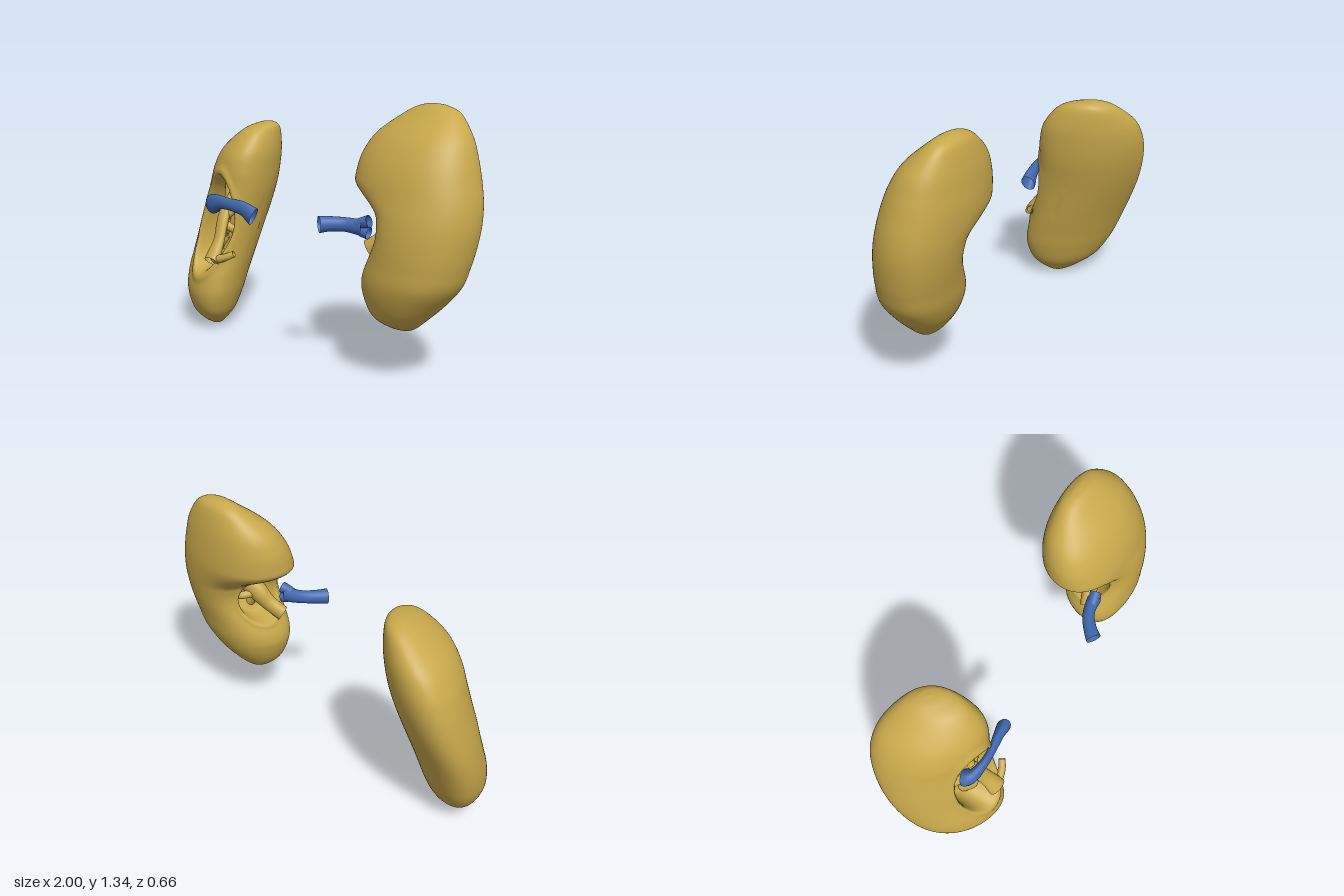
import * as THREE from 'three';

const TAN = new THREE.MeshStandardMaterial({ color: 0xc8a84b, side: THREE.DoubleSide });
const BLUE = new THREE.MeshStandardMaterial({ color: 0x4169b0, side: THREE.DoubleSide });

// Smooth body lofted through rows of [y, xMin, xMax, zBack, zFront], then hollowed by
// dent(p, c, s), where c and s run -1..1 across and along the section
function kidney(name, rows, skew, bulge, dent) {
  const low = new THREE.CatmullRomCurve3(rows.map(r => new THREE.Vector3(r[1], r[0], r[3])), false, 'catmullrom', 0.5);
  const high = new THREE.CatmullRomCurve3(rows.map(r => new THREE.Vector3(r[2], r[0], r[4])), false, 'catmullrom', 0.5);
  const N = 160, M = 160, pos = [], idx = [];
  const full = v => v * (1 + bulge * (1 - v * v));
  const p = new THREE.Vector3();
  for (let i = 0; i <= M; i++) {
    const a = low.getPoint(i / M), b = high.getPoint(i / M);
    for (let j = 0; j < N; j++) {
      const t = j / N * Math.PI * 2, c = full(Math.cos(t)), s = full(Math.sin(t + skew));
      p.set((a.x + b.x + (b.x - a.x) * c) / 2, a.y, (a.z + b.z + (b.z - a.z) * s) / 2);
      dent(p, c, s);
      pos.push(p.x, p.y, p.z);
      if (i < M) {
        const k = i * N + j, n = i * N + (j + 1) % N;
        idx.push(k, k + N, n, n, k + N, n + N);
      }
    }
  }
  const g = new THREE.BufferGeometry();
  g.setAttribute('position', new THREE.Float32BufferAttribute(pos, 3));
  g.setIndex(idx);
  g.computeVertexNormals();
  const mesh = new THREE.Mesh(g, TAN);
  mesh.name = name;
  return mesh;
}

// Open tube along points [x, y, z, radius], flattened in z by flat
function vessel(name, material, pts, flat = 1) {
  const curve = new THREE.CatmullRomCurve3(pts.map(p => new THREE.Vector3(p[0], p[1], p[2])));
  const radii = new THREE.SplineCurve(pts.map((p, i) => new THREE.Vector2(i, p[3])));
  const S = 32, R = 20;
  const g = new THREE.TubeGeometry(curve, S, 1, R, false);
  const v = new THREE.Vector3(), pos = g.attributes.position;
  for (let i = 0; i <= S; i++) {
    const u = curve.getUtoTmapping(i / S), c = curve.getPoint(u), r = radii.getPoint(u).y;
    for (let j = 0; j <= R; j++) {
      const k = i * (R + 1) + j;
      v.fromBufferAttribute(pos, k).sub(c).multiplyScalar(r);
      v.z *= flat;
      v.add(c);
      pos.setXYZ(k, v.x, v.y, v.z);
    }
  }
  g.computeVertexNormals();
  const mesh = new THREE.Mesh(g, material);
  mesh.name = name;
  return mesh;
}

const { smoothstep } = THREE.MathUtils;
// Pocket depth (0..1) and raised lip for a normalised distance from the hilum centre
const pocket = d => 1 - smoothstep(d, 0.78, 1);
const lip = d => Math.exp(-Math.pow((d - 1.07) / 0.09, 2));

export function createModel() {
  const model = new THREE.Group();

  const left = new THREE.Group();
  left.name = 'leftKidneyGroup';
  left.add(kidney('leftKidney', [
    [1.343, 0.65, 0.65, -0.22, -0.22], [1.335, 0.58, 0.72, -0.25, -0.18],
    [1.30, 0.50, 0.80, -0.285, -0.13], [1.2, 0.385, 0.89, -0.31, -0.01],
    [1.1, 0.335, 0.935, -0.322, 0.06], [1.0, 0.322, 0.965, -0.327, 0.10],
    [0.9, 0.325, 0.988, -0.32, 0.12], [0.8, 0.345, 0.995, -0.305, 0.135],
    [0.7, 0.38, 0.985, -0.285, 0.145], [0.6, 0.41, 0.965, -0.26, 0.15],
    [0.5, 0.44, 0.93, -0.235, 0.152], [0.4, 0.468, 0.85, -0.19, 0.13],
    [0.32, 0.51, 0.77, -0.13, 0.09], [0.27, 0.57, 0.71, -0.08, 0.02],
    [0.253, 0.65, 0.65, -0.04, -0.04],
  ], -0.16, 0.08, (p, c) => {
    // Bean-shaped notch, then the pocket in its wall
    const notch = 0.21 * (1 - smoothstep(p.y, 0.82, 0.98)) * smoothstep(p.y, 0.45, 0.8);
    p.x += notch * Math.pow((1 - c) / 2, 2);
    if (c > 0) return;
    const d = Math.hypot((p.z + 0.05) / 0.13, (p.y - 0.74) / 0.15);
    p.x += 0.1 * pocket(d) - 0.006 * lip(d);
  }));
  // Funnel leaving the hollow, with its inner branches
  left.add(vessel('leftPelvis', TAN, [
    [0.64, 0.80, -0.06, 0.065], [0.58, 0.75, -0.04, 0.06], [0.53, 0.69, -0.01, 0.048], [0.46, 0.635, 0.03, 0.045]], 0.8));
  for (const [y, z] of [[0.85, -0.09], [0.74, -0.13], [0.64, -0.05]])
    left.add(vessel('leftCalyx', TAN, [[0.58, 0.75, -0.04, 0.025], [0.62, (y + 0.75) / 2, z, 0.022], [0.68, y, z, 0.04]]));
  // Vein with a forked inner end
  left.add(vessel('leftVein', BLUE, [
    [0.29, 0.75, 0.205, 0.042], [0.315, 0.752, 0.165, 0.038], [0.37, 0.75, 0.105, 0.036], [0.43, 0.745, 0.075, 0.04], [0.465, 0.745, 0.065, 0.045]], 0.8));
  for (const s of [1, -1])
    left.add(vessel('leftVeinBranch', BLUE, [
      [0.42, 0.748, 0.08, 0.03], [0.455, 0.748 + s * 0.02, 0.07, 0.028], [0.49, 0.75 + s * 0.03, 0.055, 0.031]]));

  const right = new THREE.Group();
  right.name = 'rightKidneyGroup';
  right.add(kidney('rightKidney', [
    [1.147, -0.565, -0.565, -0.12, -0.12], [1.137, -0.63, -0.50, -0.17, -0.04],
    [1.1, -0.705, -0.46, -0.22, 0.06], [1.0, -0.84, -0.43, -0.265, 0.15],
    [0.9, -0.91, -0.428, -0.277, 0.185], [0.8, -0.948, -0.438, -0.268, 0.195],
    [0.7, -0.972, -0.455, -0.245, 0.21], [0.6, -0.99, -0.47, -0.212, 0.23],
    [0.5, -1.0, -0.48, -0.172, 0.25], [0.4, -1.0, -0.488, -0.13, 0.28],
    [0.3, -0.99, -0.498, -0.09, 0.315], [0.2, -0.965, -0.513, -0.047, 0.33],
    [0.1, -0.905, -0.55, 0.012, 0.305], [0.04, -0.835, -0.605, 0.08, 0.25],
    [0.01, -0.76, -0.65, 0.13, 0.20], [0.0, -0.70, -0.70, 0.17, 0.17],
  ], 0.45, 0.05, (p, c, s) => {
    if (s < 0) return;
    const d = Math.hypot((p.x + 0.63 - 0.08 * (p.y - 0.6)) / 0.145, (p.y - 0.595) / 0.28);
    const push = 0.15 * pocket(d) - 0.01 * lip(d);
    p.x -= 0.25 * push;
    p.z -= push;
  }));
  // Collecting funnel with its flared, flattened lower end
  right.add(vessel('rightPelvis', TAN, [
    [-0.63, 0.70, 0.12, 0.035], [-0.61, 0.61, 0.17, 0.042], [-0.58, 0.50, 0.22, 0.04], [-0.565, 0.40, 0.28, 0.052]], 0.6));
  right.add(vessel('rightUreter', TAN, [
    [-0.59, 0.41, 0.24, 0.025], [-0.54, 0.415, 0.26, 0.024], [-0.48, 0.435, 0.24, 0.02], [-0.445, 0.455, 0.21, 0.018]]));
  // Branches reaching the floor of the hollow
  for (const [x, y, z] of [[-0.68, 0.78, 0.05], [-0.60, 0.82, 0.05], [-0.72, 0.62, 0.06], [-0.72, 0.47, 0.08], [-0.66, 0.38, 0.13], [-0.54, 0.55, 0.08], [-0.54, 0.70, 0.06]])
    right.add(vessel('rightCalyx', TAN, [
      [-0.61, 0.6 + (y - 0.6) * 0.35, 0.15, 0.026], [(x - 0.61) / 2, 0.6 + (y - 0.6) * 0.7, z + 0.05, 0.024], [x, y, z, 0.045]]));
  // Vein crossing the hollow and flaring at both ends
  right.add(vessel('rightVein', BLUE, [
    [-0.69, 0.69, 0.17, 0.052], [-0.66, 0.70, 0.20, 0.055], [-0.59, 0.722, 0.21, 0.04], [-0.5, 0.72, 0.195, 0.034],
    [-0.41, 0.705, 0.165, 0.042], [-0.35, 0.67, 0.145, 0.055]], 0.6));

  model.add(left, right);
  return model;
}
